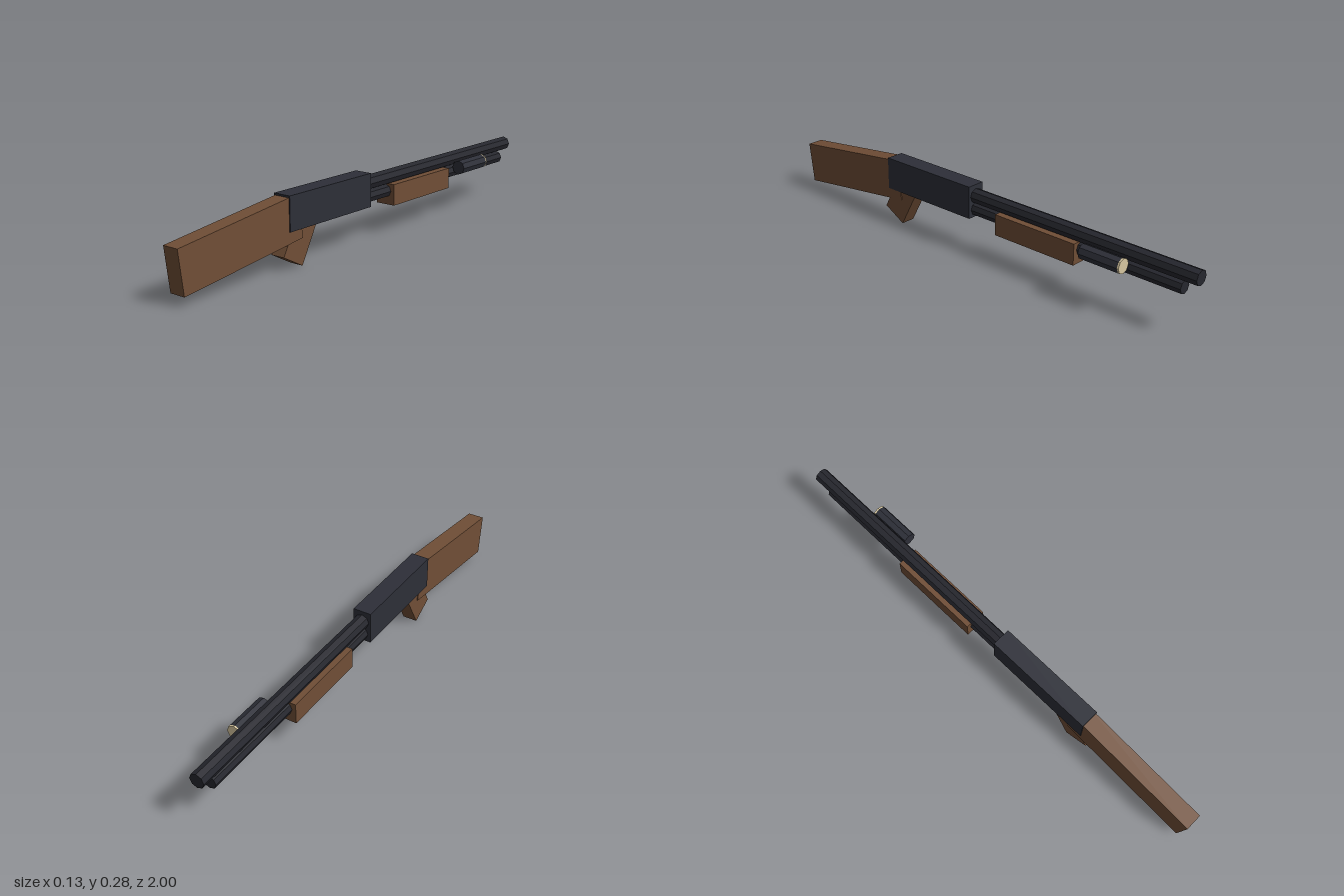
import * as THREE from 'three';

const material = (name, color) => {
  const m = new THREE.MeshStandardMaterial({ color });
  m.name = name;
  return m;
};

export function createModel() {
  const wood = material('walnutBrown', 0x704e36);
  const steel = material('gunmetal', 0x2d2f38);
  const darkSteel = material('darkSteel', 0x26272e);
  const glass = material('warmLens', 0xd8c8a0);

  const group = new THREE.Group();
  group.name = 'pumpShotgun';
  const midX = -0.023; // centre line of the gun

  const add = (name, geometry, mat, x, y, z) => {
    const mesh = new THREE.Mesh(geometry, mat);
    mesh.name = name;
    mesh.position.set(x, y, z);
    group.add(mesh);
    return mesh;
  };

  // Box on the centre line, tilted about x
  const block = (name, mat, [w, h, d], y, z, tilt = 0) => {
    add(name, new THREE.BoxGeometry(w, h, d), mat, midX, y, z).rotation.x = tilt;
  };

  // Eight-sided tube lying along z, from zBack to zFront, with crisp facets
  const tube = (name, mat, r, x, y, zBack, zFront) => {
    const g = new THREE.CylinderGeometry(r, r, zBack - zFront, 8).rotateX(-Math.PI / 2).toNonIndexed();
    g.computeVertexNormals();
    add(name, g, mat, x, y, (zBack + zFront) / 2);
  };

  // Wooden furniture
  block('stock', wood, [0.068, 0.17, 0.575], 0.156, 0.704, 0.122);
  block('grip', wood, [0.061, 0.18, 0.111], 0.106, 0.415, -0.5);
  block('pumpHandle', wood, [0.086, 0.086, 0.38], 0.163, -0.31);

  // Receiver, barrel and magazine
  block('receiver', steel, [0.076, 0.134, 0.459], 0.21, 0.249);
  tube('barrel', darkSteel, 0.03, midX, 0.231, 0.05, -1);
  tube('magazineTube', darkSteel, 0.027, midX, 0.176, 0.05, -0.94);

  // Side torch with its lens
  tube('torchBody', steel, 0.03, 0.034, 0.201, -0.55, -0.72);
  tube('torchLens', glass, 0.03, 0.034, 0.201, -0.72, -0.727);

  return group;
}
